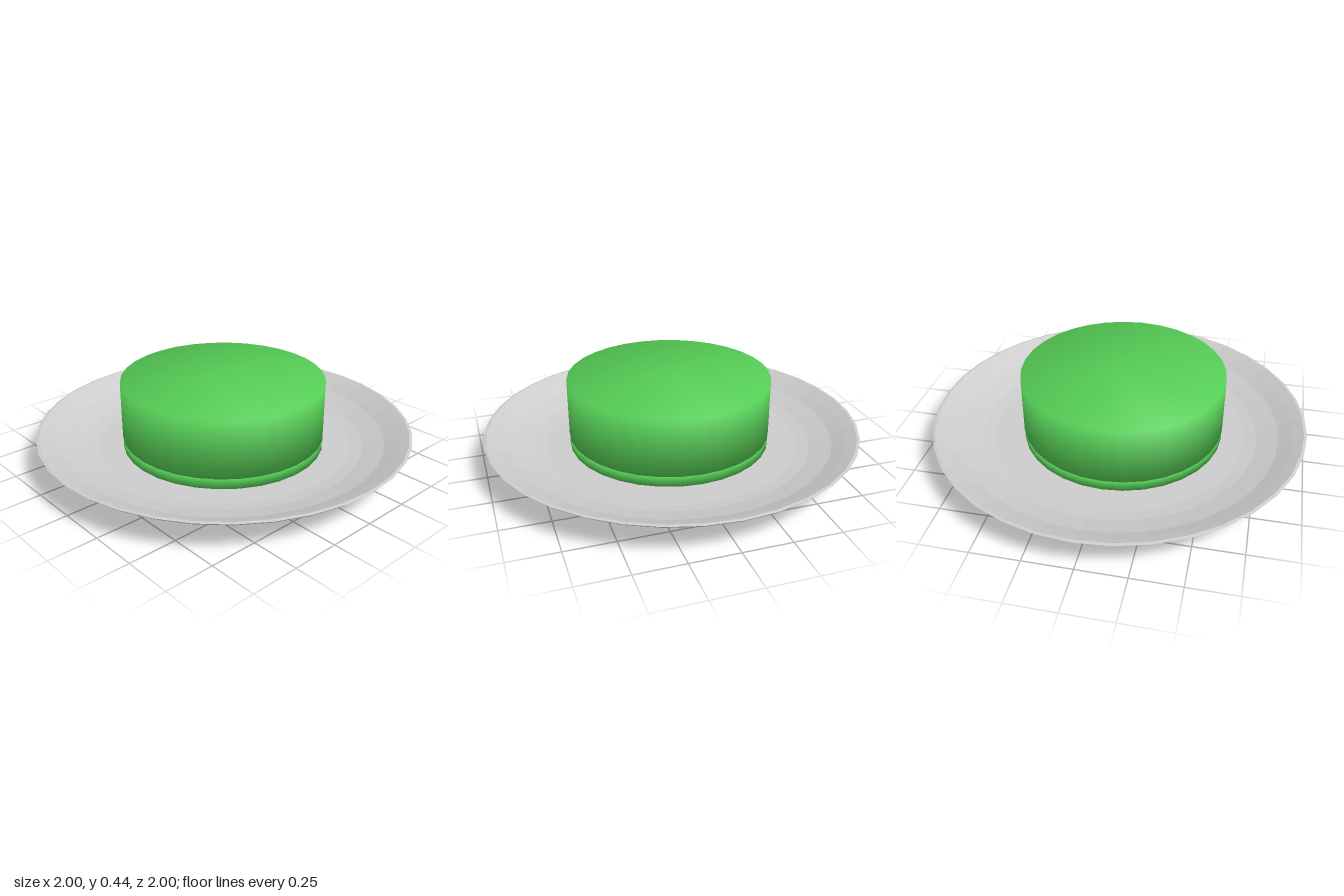
import * as THREE from 'three';

const lathe = (profile, segments) =>
  new THREE.LatheGeometry(profile.map(([r, y]) => new THREE.Vector2(r, y)), segments);

function part(name, geometry, material) {
  const mesh = new THREE.Mesh(geometry, material);
  mesh.name = name;
  return mesh;
}

export function createModel() {
  const group = new THREE.Group();
  group.name = 'cakeOnPlate';
  const grey = new THREE.MeshStandardMaterial({ color: 0xcccccc, flatShading: true });
  const green = new THREE.MeshStandardMaterial({ color: 0x55cc55 });

  // Faceted plate: underside, thin rim, then the dished inside
  group.add(part('plate', lathe([
    [0, 0], [0.64, 0.003], [0.72, 0.02], [0.8, 0.052], [0.985, 0.153],
    [1, 0.167], [0.985, 0.17],
    [0.93, 0.145], [0.86, 0.11], [0.745, 0.078], [0.68, 0.07], [0, 0.07],
  ], 36), grey));

  // Round cake with softly shaded edges, slightly off centre, on a thin base layer
  const cake = new THREE.Group();
  cake.name = 'cake';
  cake.position.set(-0.018, 0, 0.01);
  const layer = (r, y0, y1) => lathe([[0, y0], [r, y0], [r, y1], [0, y1]], 32);
  cake.add(part('cakeBody', layer(0.54, 0.13, 0.44), green));
  cake.add(part('cakeBase', layer(0.538, 0.075, 0.13), green));
  group.add(cake);

  return group;
}
